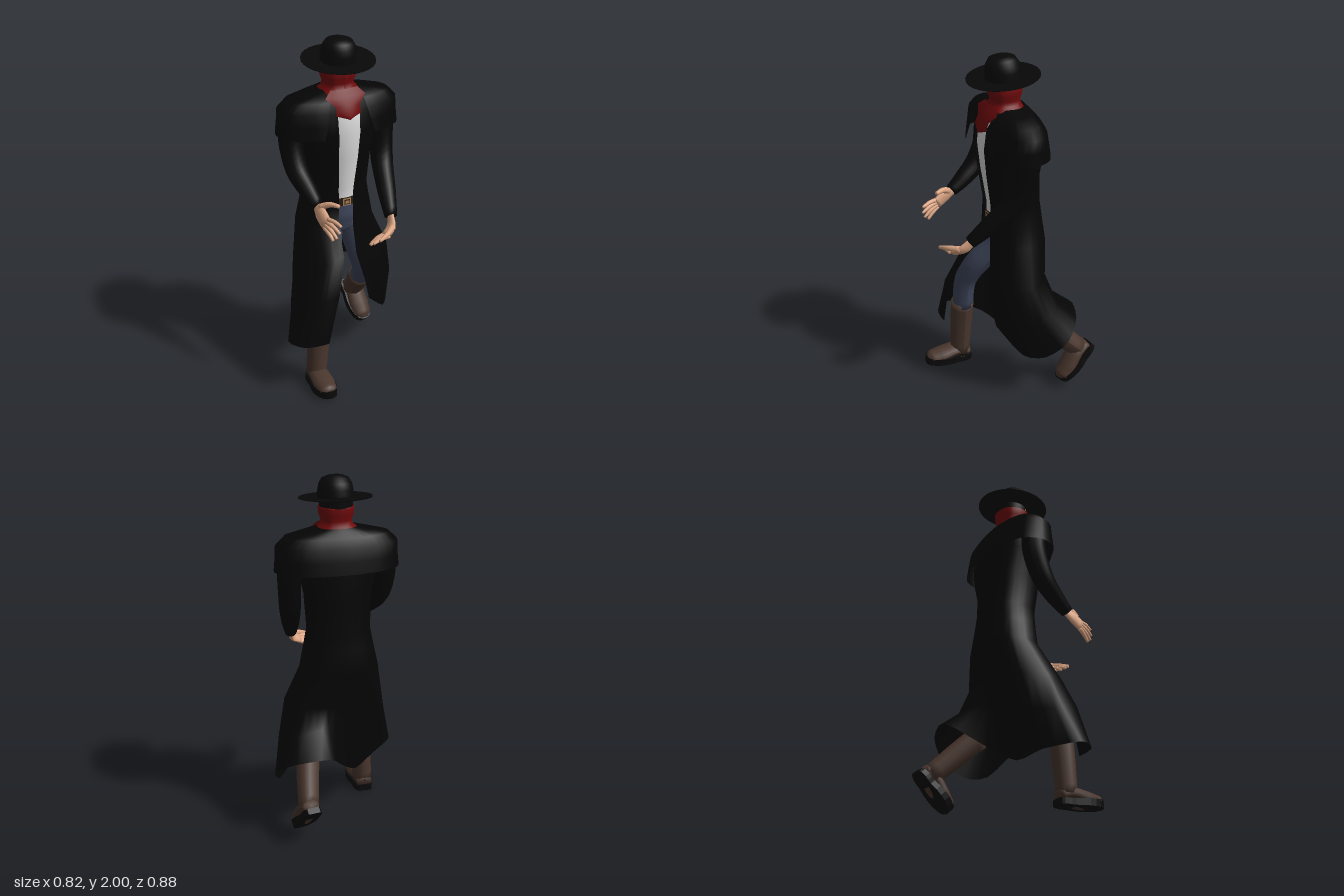
import * as THREE from 'three';

const V = (x, y, z) => new THREE.Vector3(x, y, z);
const mat = (name, color) => {
  const m = new THREE.MeshStandardMaterial({ color, side: THREE.DoubleSide });
  m.name = name;
  return m;
};

// Surface through rows of points
function loft(rows) {
  const n = rows[0].length, pos = [], idx = [];
  rows.forEach(r => r.forEach(p => pos.push(p.x, p.y, p.z)));
  for (let r = 0; r < rows.length - 1; r++) {
    for (let c = 0; c < n - 1; c++) {
      const a = r * n + c, b = a + n;
      idx.push(a, b, a + 1, a + 1, b, b + 1);
    }
  }
  const g = new THREE.BufferGeometry();
  g.setAttribute('position', new THREE.Float32BufferAttribute(pos, 3));
  g.setIndex(idx);
  g.computeVertexNormals();
  return g;
}

// Smooth row through 13 control points
const smoothRow = pts => {
  const c = new THREE.CatmullRomCurve3(pts, false, 'catmullrom', 0.4);
  return Array.from({ length: 37 }, (_, i) => c.getPoint(i / 36));
};

// Body ring: height, half front opening, half width, front z, back z
const bodyRow = ([y, e, w, zf, zb]) => {
  const pw = v => Math.sign(v) * Math.abs(v) ** 0.85, pts = [];
  for (let i = 0; i <= 12; i++) {
    const a = i / 12 * Math.PI * 2;
    const x = i === 0 ? e : i === 12 ? -e : w * pw(Math.sin(a));
    pts.push(V(x - 0.01, y, (zf + zb) / 2 + (zf - zb) / 2 * pw(Math.cos(a))));
  }
  return smoothRow(pts);
};

// Curved front strip: rows of [y, x left, x right, z], sides bent back by sag
const strip = (rows, sag) => loft(rows.map(([y, x0, x1, z]) =>
  Array.from({ length: 9 }, (_, i) => {
    const t = i / 8;
    return V(x0 + (x1 - x0) * t, y, z - sag * (2 * t - 1) ** 2);
  })));

// Round limb through [x, y, z, radius]; k flattens it across the wide direction
function limb(pts, wide = V(1, 0, 0), k = 1, sides = 12) {
  const curve = new THREE.CatmullRomCurve3(pts.map(p => V(p[0], p[1], p[2])));
  const n = (pts.length - 1) * 4, rows = [];
  for (let i = 0; i <= n; i++) {
    const t = i / n, f = t * (pts.length - 1), j = Math.min(Math.floor(f), pts.length - 2);
    const r = THREE.MathUtils.lerp(pts[j][3], pts[j + 1][3], f - j);
    const p = curve.getPoint(t), d = curve.getTangent(t);
    const a = wide.clone().addScaledVector(d, -wide.dot(d)).normalize();
    const b = a.clone().cross(d);
    const ring = s => Array.from({ length: sides + 1 }, (_, q) => {
      const h = q / sides * Math.PI * 2;
      return p.clone().addScaledVector(a, s * Math.cos(h)).addScaledVector(b, s * k * Math.sin(h));
    });
    if (i === 0) rows.push(ring(0));
    rows.push(ring(r));
    if (i === n) rows.push(ring(0));
  }
  return loft(rows);
}

export function createModel() {
  const model = new THREE.Group();
  const M = {
    coat: mat('coat black', 0x050505), hat: mat('hat black', 0x080808),
    red: mat('scarf red', 0x70090b), skin: mat('skin', 0xdfa886),
    jeans: mat('denim blue', 0x3f465b), boot: mat('boot brown', 0x4a372e),
    sole: mat('sole black', 0x0b0a0a), shirt: mat('shirt white', 0xdcdcdc),
    belt: mat('belt brown', 0x2b1c14), buckle: mat('buckle brass', 0xa98258),
  };
  const add = (name, geo, m, parent = model) => {
    const mesh = new THREE.Mesh(geo, m);
    mesh.name = name;
    parent.add(mesh);
    return mesh;
  };

  // Coat body, then the skirt swept by the stride
  const rows = [
    [1.72, 0.06, 0.10, 0.07, -0.09], [1.695, 0.065, 0.2, 0.095, -0.12], [1.62, 0.065, 0.24, 0.145, -0.158],
    [1.5, 0.063, 0.225, 0.16, -0.172], [1.35, 0.057, 0.19, 0.145, -0.175], [1.15, 0.045, 0.18, 0.115, -0.18],
    [1.05, 0.043, 0.2, 0.115, -0.19], [0.92, 0.043, 0.228, 0.118, -0.205],
  ].map(bodyRow);
  const skirt = [
    [0.05, 0.74, 0.13, 0.17, 0.72, 0.13, 0.27, 0.72, 0.08, 0.3, 0.72, -0.02, 0.24, 0.72, -0.12, 0.14, 0.72, -0.17, 0, 0.72, -0.17,
      -0.13, 0.72, -0.15, -0.25, 0.7, -0.08, -0.3, 0.7, 0.06, -0.24, 0.74, 0.17, -0.16, 0.77, 0.23, -0.075, 0.79, 0.23],
    [0.095, 0.57, 0.15, 0.22, 0.52, 0.12, 0.32, 0.52, 0.03, 0.355, 0.52, -0.09, 0.28, 0.57, -0.19, 0.13, 0.6, -0.19, 0, 0.58, -0.13,
      -0.12, 0.5, -0.1, -0.27, 0.5, -0.02, -0.355, 0.5, 0.12, -0.3, 0.55, 0.24, -0.22, 0.58, 0.3, -0.14, 0.6, 0.305],
    [0.135, 0.42, 0.13, 0.28, 0.28, 0.03, 0.36, 0.28, -0.08, 0.41, 0.38, -0.195, 0.31, 0.46, -0.3, 0.13, 0.48, -0.335, 0, 0.34, -0.14,
      -0.12, 0.25, -0.03, -0.25, 0.29, 0.05, -0.41, 0.31, 0.19, -0.36, 0.31, 0.29, -0.28, 0.31, 0.315, -0.21, 0.31, 0.315],
  ];
  skirt.forEach(r => rows.push(smoothRow(Array.from({ length: 13 }, (_, i) => V(r[i * 3], r[i * 3 + 1], r[i * 3 + 2])))));
  add('coat', loft(rows), M.coat);
  add('shoulderCape', loft([
    [1.725, 0.07, 0.11, 0.08, -0.095], [1.705, 0.09, 0.2, 0.1, -0.115], [1.68, 0.1, 0.3, 0.125, -0.135],
    [1.63, 0.11, 0.35, 0.15, -0.162], [1.56, 0.13, 0.352, 0.163, -0.177], [1.49, 0.15, 0.358, 0.174, -0.188],
  ].map(bodyRow)), M.coat);

  // Shirt front, belt and framed buckle
  add('shirt', strip([
    [1.66, -0.095, 0.075, 0.115], [1.62, -0.095, 0.075, 0.141], [1.5, -0.093, 0.073, 0.156],
    [1.35, -0.085, 0.065, 0.141], [1.15, -0.07, 0.05, 0.111], [1.09, -0.07, 0.05, 0.11],
  ], 0.02), M.shirt);
  add('belt', strip([[1.1, -0.068, 0.048, 0.114], [1.05, -0.068, 0.048, 0.114]], 0.012), M.belt);
  add('buckle', strip([[1.096, -0.03, 0.022, 0.118], [1.052, -0.03, 0.022, 0.118]], 0.002), M.buckle);
  add('buckleInset', strip([[1.089, -0.021, 0.013, 0.12], [1.059, -0.021, 0.013, 0.12]], 0.001), M.belt);
  add('buckleStud', strip([[1.083, -0.015, 0.007, 0.122], [1.065, -0.015, 0.007, 0.122]], 0), M.buckle);

  // Head, hair and scarf
  add('head', loft([[1.9, 0, 0.088, 0.09, -0.078], [1.72, 0, 0.08, 0.08, -0.065]].map(bodyRow)), M.skin);
  const hair = add('hair', new THREE.CylinderGeometry(0.094, 0.092, 0.09, 24, 1, true, 1.1, Math.PI * 2 - 2.2), M.hat);
  hair.position.set(-0.01, 1.85, 0.009);
  add('scarf', loft([
    [1.835, 0, 0.09, 0.092, -0.08], [1.83, 0, 0.099, 0.1, -0.086], [1.79, 0, 0.096, 0.098, -0.082], [1.76, 0, 0.085, 0.086, -0.072],
    [1.735, 0, 0.09, 0.09, -0.078], [1.712, 0, 0.122, 0.112, -0.092],
  ].map(bodyRow)), M.red);
  add('scarfFlap', strip([
    [1.735, -0.09, 0.07, 0.098], [1.7, -0.13, 0.105, 0.124], [1.655, -0.08, 0.06, 0.15],
    [1.61, -0.085, 0.06, 0.166], [1.585, -0.02, 0.0, 0.168],
  ], 0.015), M.red);

  // Wide hat, tipped forward
  const hat = new THREE.Group();
  hat.name = 'hat';
  hat.position.set(-0.01, 1.87, 0.014);
  hat.rotation.x = 0.09;
  model.add(hat);
  const lathe = p => new THREE.LatheGeometry(p.map(q => new THREE.Vector2(...q)), 28);
  add('brim', lathe([[0, -0.004], [0.1, -0.004], [0.16, 0], [0.203, 0.008], [0.203, 0.014], [0.16, 0.009], [0.09, 0.008]]), M.hat, hat);
  add('crown', lathe([[0.1, 0], [0.099, 0.05], [0.092, 0.085], [0.075, 0.115], [0.04, 0.129], [0, 0.131]]), M.hat, hat);

  // Sleeves
  add('rightSleeve', limb([[-0.28, 1.59, -0.01, 0.07], [-0.285, 1.45, -0.01, 0.068], [-0.278, 1.3, 0.05, 0.062],
    [-0.255, 1.21, 0.15, 0.05], [-0.24, 1.15, 0.235, 0.036]]), M.coat);
  add('leftSleeve', limb([[0.265, 1.59, -0.01, 0.07], [0.262, 1.45, 0, 0.068], [0.245, 1.27, 0.05, 0.063],
    [0.205, 1.13, 0.19, 0.052], [0.175, 1.03, 0.3, 0.036]]), M.coat);

  // Hands: a flat palm, four fingers and a thumb
  const hand = (name, palm, wide, across, tips, thumb) => {
    const g = new THREE.Group();
    g.name = name;
    model.add(g);
    add('palm', limb(palm, wide, 0.5), M.skin, g);
    const k = palm[palm.length - 1];
    tips.forEach((t, i) => {
      const s = (1.5 - i) * 0.019;
      const b = [k[0] + across.x * s, k[1] + across.y * s, k[2] + across.z * s];
      const mid = b.map((v, q) => (v + t[q]) / 2 + (q === 1 ? 0.006 : 0));
      add('finger', limb([[...b, 0.013], [...mid, 0.012], [...t, 0.008]], wide, 1, 8), M.skin, g);
    });
    add('thumb', limb(thumb, wide, 1, 8), M.skin, g);
  };
  hand('rightHand', [[-0.24, 1.15, 0.225, 0.028], [-0.24, 1.125, 0.275, 0.042], [-0.234, 1.09, 0.33, 0.041]],
    V(0.3, 1, 0.3), V(0.25, 0.9, 0.3),
    [[-0.192, 1.105, 0.43], [-0.2, 1.065, 0.43], [-0.21, 1.03, 0.415], [-0.22, 1.008, 0.39]],
    [[-0.235, 1.155, 0.26, 0.02], [-0.2, 1.182, 0.305, 0.016], [-0.168, 1.186, 0.355, 0.011]]);
  hand('leftHand', [[0.178, 1.035, 0.29, 0.027], [0.158, 0.985, 0.335, 0.037], [0.112, 0.955, 0.368, 0.037]],
    V(0, -0.25, -1), V(-0.1, -0.25, -0.95),
    [[0.035, 0.908, 0.335], [0.015, 0.915, 0.362], [0.006, 0.93, 0.388], [0.012, 0.945, 0.411]],
    [[0.16, 0.99, 0.352, 0.019], [0.1, 0.982, 0.405, 0.014], [0.042, 0.965, 0.43, 0.009]]);

  // Trousers
  add('hips', limb([[-0.01, 1.07, 0, 0.118], [-0.01, 0.97, 0, 0.122], [-0.01, 0.87, 0, 0.09]], V(1, 0, 0), 0.84, 20), M.jeans);
  add('rightTrouserLeg', limb([[-0.065, 0.95, -0.01, 0.085], [-0.085, 0.85, 0.03, 0.085], [-0.13, 0.72, 0.13, 0.08],
    [-0.178, 0.58, 0.185, 0.064], [-0.202, 0.4, 0.195, 0.06]]), M.jeans);
  add('leftTrouserLeg', limb([[0.06, 0.95, -0.01, 0.085], [0.125, 0.72, 0, 0.08], [0.18, 0.53, -0.03, 0.068], [0.19, 0.44, -0.11, 0.06]]), M.jeans);

  // Boot shafts
  add('rightBootShaft', limb([[-0.207, 0.425, 0.195, 0.068], [-0.227, 0.25, 0.2, 0.064], [-0.243, 0.06, 0.205, 0.058]]), M.boot);
  add('leftBootShaft', limb([[0.188, 0.46, -0.09, 0.068], [0.225, 0.35, -0.205, 0.066], [0.262, 0.215, -0.345, 0.058]]), M.boot);

  // Feet: shaped sole, heel to toe along +z, rising at the toe
  const outline = new THREE.Shape();
  outline.moveTo(-0.035, 0.07);
  outline.quadraticCurveTo(-0.062, 0.05, -0.055, -0.02);
  outline.quadraticCurveTo(-0.085, -0.13, -0.04, -0.2);
  outline.quadraticCurveTo(0, -0.23, 0.04, -0.2);
  outline.quadraticCurveTo(0.085, -0.13, 0.055, -0.02);
  outline.quadraticCurveTo(0.062, 0.05, 0.035, 0.07);
  const soleGeo = new THREE.ExtrudeGeometry(outline, { depth: 0.034, bevelEnabled: false, curveSegments: 5 });
  soleGeo.rotateX(-Math.PI / 2);
  const sp = soleGeo.attributes.position;
  for (let i = 0; i < sp.count; i++) {
    const rise = Math.max(0, sp.getZ(i)) * (sp.getY(i) > 0.01 ? 0.12 : 0.07);
    sp.setY(i, sp.getY(i) + rise);
  }
  soleGeo.computeVertexNormals();
  const upperGeo = limb([[0, 0.05, -0.058, 0.046], [0, 0.07, 0.02, 0.058], [0, 0.055, 0.11, 0.064], [0, 0.05, 0.18, 0.052], [0, 0.05, 0.205, 0.026]],
    V(1, 0, 0), 0.68);
  // Brown instep let into the underside
  const instepGeo = new THREE.CircleGeometry(1, 16);
  instepGeo.scale(0.022, 0.05, 1).rotateX(Math.PI / 2 + 0.07).translate(0, 0.001, 0.05);
  const foot = (name, pos, rx, ry) => {
    const g = new THREE.Group();
    g.name = name;
    g.position.copy(pos);
    g.rotation.set(rx, ry, 0, 'YXZ');
    model.add(g);
    add('sole', soleGeo, M.sole, g);
    add('bootUpper', upperGeo, M.boot, g);
    add('instep', instepGeo, M.boot, g);
  };
  foot('rightFoot', V(-0.243, 0, 0.21), 0, -0.04);
  foot('leftFoot', V(0.26, 0.168, -0.388), 0.8, 0.12);

  return model;
}
